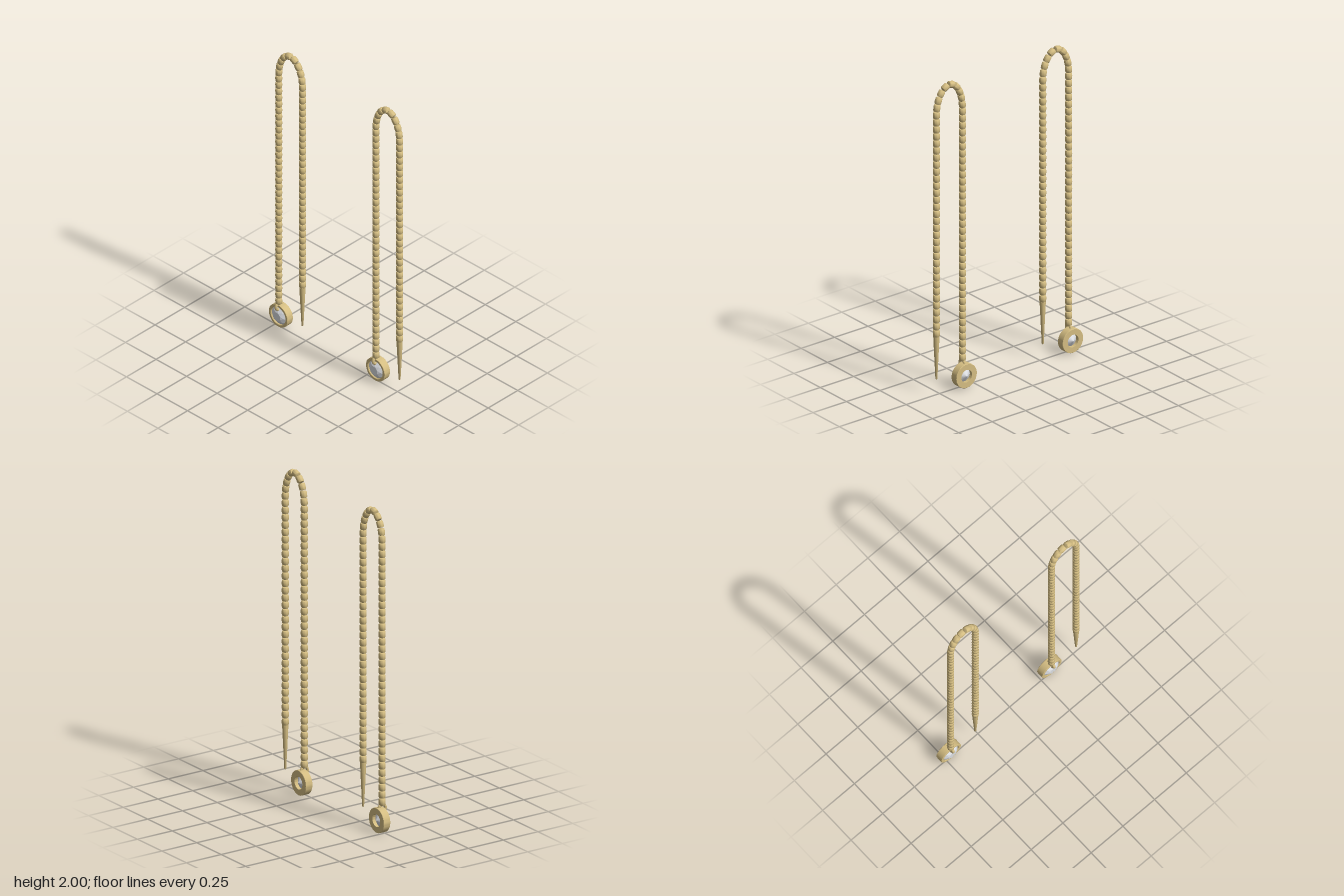
import * as THREE from 'three';
import { toCreasedNormals } from 'three/addons/utils/BufferGeometryUtils.js';
import { ConvexGeometry } from 'three/addons/geometries/ConvexGeometry.js';

const gold = new THREE.MeshStandardMaterial({ color: 0xd4bd82 });
const crystal = new THREE.MeshStandardMaterial({ color: 0xdcdee2, flatShading: true });

const SPAN = 0.194;       // distance between the two strands
const ARCH_Y = 1.805;     // height where the strands start to curve
const ARCH_H = 0.174;     // rise of the arch
const CHAIN_Z = 0.004;
const PENDANT_Y = 0.077;

function part(name, geometry, material = gold) {
  const mesh = new THREE.Mesh(geometry, material);
  mesh.name = name;
  return mesh;
}

function lathe(points, segments) {
  const profile = points.map(([r, y]) => new THREE.Vector2(r, y));
  return toCreasedNormals(new THREE.LatheGeometry(profile, segments), 0.6);
}

// Up the first strand, over the arch and down the second strand
function chainPath() {
  const arch = [];
  for (let i = 0; i <= 48; i++) {
    const a = Math.PI * (1 - i / 48);
    arch.push(new THREE.Vector3(
      SPAN / 2 * (1 + Math.cos(a)), ARCH_Y + ARCH_H * Math.sin(a), CHAIN_Z));
  }
  const path = new THREE.CurvePath();
  path.add(new THREE.LineCurve3(new THREE.Vector3(0, 0.185, CHAIN_Z), arch[0]));
  path.add(new THREE.CatmullRomCurve3(arch));
  path.add(new THREE.LineCurve3(arch[48], new THREE.Vector3(SPAN, 0.395, CHAIN_Z)));
  return path;
}

// Short barrel links with softened rims
function chain() {
  const group = new THREE.Group();
  group.name = 'chain';
  const link = lathe([
    [0, -0.021], [0.014, -0.021], [0.018, -0.0195], [0.0205, -0.015], [0.021, 0],
    [0.0205, 0.015], [0.018, 0.0195], [0.014, 0.021], [0, 0.021],
  ], 20);
  const path = chainPath();
  const count = Math.round(path.getLength() / 0.0455);
  const up = new THREE.Vector3(0, 1, 0);
  for (let i = 0; i <= count; i++) {
    const mesh = part('chainLink', link);
    mesh.position.copy(path.getPointAt(i / count));
    mesh.quaternion.setFromUnitVectors(up, path.getTangentAt(i / count).normalize());
    // Straight-down tangents need an explicit half turn
    if (i / count > 0.65) mesh.rotation.set(0, 0, Math.PI);
    group.add(mesh);
  }
  return group;
}

// Brilliant-cut stone: table, crown, girdle and culet
function stone() {
  const points = [new THREE.Vector3(0, 0, -0.042)];
  const ring = (n, r, z, turn) => {
    for (let i = 0; i < n; i++) {
      const a = (i + turn) / n * Math.PI * 2;
      points.push(new THREE.Vector3(r * Math.cos(a), r * Math.sin(a), z));
    }
  };
  ring(8, 0.03, 0.022, 0.5);
  ring(8, 0.047, 0.012, 0);
  ring(16, 0.059, 0.001, 0.5);
  ring(16, 0.059, -0.002, 0.5);
  return part('stone', new ConvexGeometry(points), crystal);
}

// Round setting, open at the back, holding the stone
function pendant() {
  const group = new THREE.Group();
  group.name = 'pendant';
  const bezel = part('bezel', lathe([
    [0.04, -0.038], [0.075, -0.038], [0.077, -0.036], [0.077, 0.008], [0.075, 0.01],
    [0.062, 0.01], [0.059, 0.007], [0.059, -0.003], [0.04, -0.016], [0.04, -0.038],
  ], 48));
  bezel.rotation.x = Math.PI / 2;
  group.add(bezel, stone());
  group.position.y = PENDANT_Y;
  return group;
}

function earring() {
  const group = new THREE.Group();
  group.name = 'earring';

  // Jump ring through the top of the setting
  const jumpRing = part('jumpRing', new THREE.TorusGeometry(0.023, 0.009, 12, 28));
  jumpRing.rotation.y = Math.PI / 2;
  jumpRing.position.set(0, 0.146, CHAIN_Z);

  // Tapered post that threads through the ear
  const needle = part('needle', lathe([
    [0, 0.097], [0.004, 0.098], [0.006, 0.102], [0.0185, 0.368], [0.0185, 0.376], [0, 0.376],
  ], 20));
  needle.position.set(SPAN, 0, CHAIN_Z);

  group.add(chain(), pendant(), jumpRing, needle);
  return group;
}

export function createModel() {
  const model = new THREE.Group();
  model.name = 'threaderEarrings';
  for (const x of [-0.468, 0.327]) {
    const item = earring();
    item.position.x = x;
    model.add(item);
  }
  return model;
}
